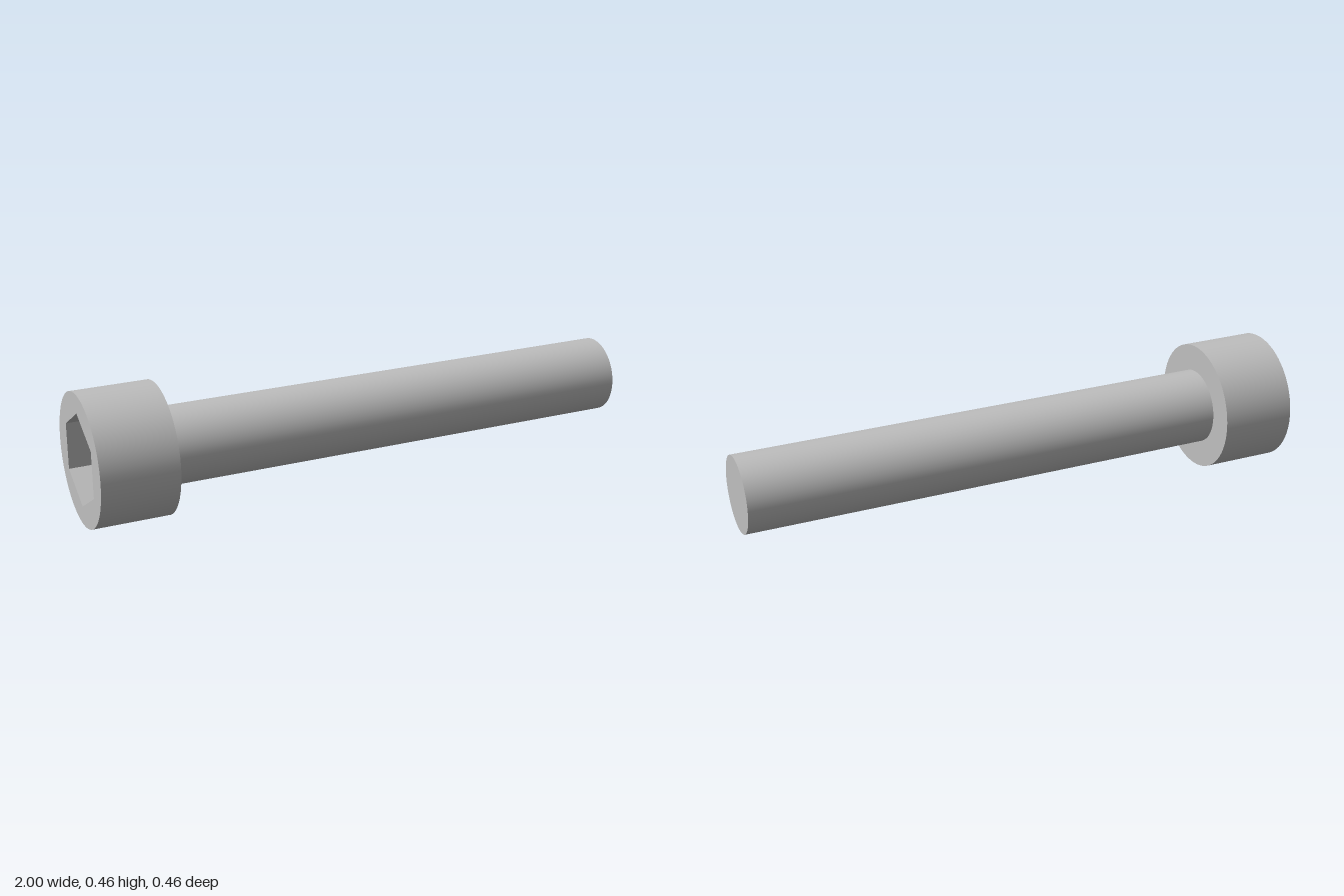
import * as THREE from 'three';

const HEAD_R = 0.229, SHANK_R = 0.134, HEAD_TOP = -1, HEAD_BASE = -0.733;
const HEX_R = 0.163, HEX_DEPTH = 0.15, SEG = 64;

export function createModel() {
  const model = new THREE.Group();
  model.name = 'socketHeadBolt';
  const steel = new THREE.MeshStandardMaterial({ color: 0xbfbfbf });
  steel.name = 'steel grey';

  // The bolt is built along y, then laid down so its tip points to +x
  const bolt = new THREE.Group();
  bolt.name = 'bolt';
  bolt.rotation.z = -Math.PI / 2;
  bolt.position.y = HEAD_R;
  model.add(bolt);

  const add = (parent, name, geometry, y) => {
    const mesh = new THREE.Mesh(geometry, steel);
    mesh.name = name;
    mesh.position.y = y;
    parent.add(mesh);
  };

  // Shank with a flat tip
  const shankLength = 1 - HEAD_BASE;
  add(bolt, 'shank', new THREE.CylinderGeometry(SHANK_R, SHANK_R, shankLength, SEG), HEAD_BASE + shankLength / 2);

  // Head: round side, underside ring and end face with a hexagonal opening
  const head = new THREE.Group();
  head.name = 'head';
  bolt.add(head);
  const headLength = HEAD_BASE - HEAD_TOP;
  add(head, 'headSide', new THREE.CylinderGeometry(HEAD_R, HEAD_R, headLength, SEG, 1, true), HEAD_TOP + headLength / 2);
  add(head, 'headUnderside', new THREE.RingGeometry(SHANK_R, HEAD_R, SEG).rotateX(-Math.PI / 2), HEAD_BASE);

  const face = new THREE.Shape().absarc(0, 0, HEAD_R, 0, Math.PI * 2);
  const corners = Array.from({ length: 6 }, (_, i) =>
    new THREE.Vector2(HEX_R * Math.cos(i * Math.PI / 3), HEX_R * Math.sin(i * Math.PI / 3)));
  face.holes.push(new THREE.Path(corners));
  add(head, 'headFace', new THREE.ShapeGeometry(face, SEG).rotateX(Math.PI / 2), HEAD_TOP);

  // Hex socket: mirrored prism so the flat walls face inward, plus its floor
  const walls = new THREE.CylinderGeometry(HEX_R, HEX_R, HEX_DEPTH, 6, 1, true, Math.PI / 2)
    .scale(-1, 1, 1).toNonIndexed();
  walls.computeVertexNormals();
  add(head, 'socketWalls', walls, HEAD_TOP + HEX_DEPTH / 2);
  add(head, 'socketFloor', new THREE.CircleGeometry(HEX_R, 6).rotateX(Math.PI / 2), HEAD_TOP + HEX_DEPTH);

  return model;
}
